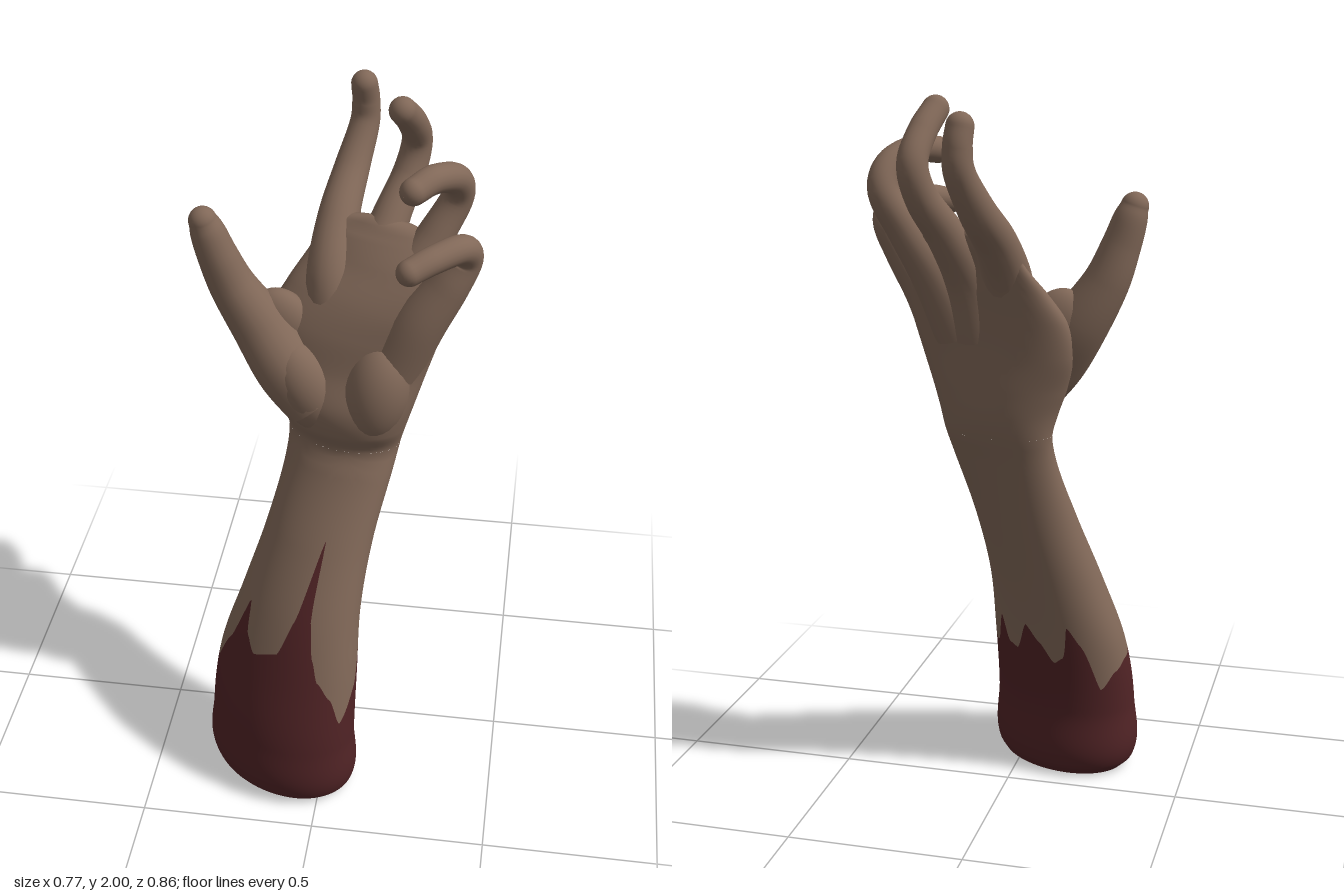
import * as THREE from 'three';
import { ParametricGeometry } from 'three/addons/geometries/ParametricGeometry.js';

const skin = new THREE.MeshStandardMaterial({ color: 0x816858 });
skin.name = 'brown skin';
const blood = new THREE.MeshStandardMaterial({ color: 0x502325 });
blood.name = 'dark red blood';

// Smooth interpolation through rows of [parameter, ...values]
function spline(rows) {
  return new THREE.CubicInterpolant(
    rows.map((r) => r[0]), rows.flatMap((r) => r.slice(1)), rows[0].length - 1, new Array(rows[0].length - 1).fill(0));
}

// Arm and palm cross-sections: y, xMin, xMax, zMin, zMax, slant of z along x
const sections = spline([
  [0, -0.31, 0.075, 0.075, 0.40, 0.23],
  [0.03, -0.338, 0.094, 0.052, 0.423, 0.23],
  [0.2, -0.34, 0.095, 0.055, 0.42, 0.23],
  [0.4, -0.315, 0.098, 0.038, 0.375, 0.23],
  [0.6, -0.25, 0.10, 0.005, 0.315, 0.22],
  [0.8, -0.185, 0.125, -0.04, 0.225, 0.2],
  [1.0, -0.138, 0.17, -0.095, 0.125, 0.2],
  [1.07, -0.135, 0.185, -0.118, 0.098, 0.18],
  [1.13, -0.15, 0.2, -0.132, 0.122, 0.17],
  [1.2, -0.175, 0.22, -0.14, 0.125, 0.17],
  [1.3, -0.2, 0.25, -0.147, 0.09, 0.2],
  [1.4, -0.19, 0.28, -0.16, 0.07, 0.25],
  [1.48, -0.145, 0.3, -0.175, 0.05, 0.33],
  [1.56, -0.09, 0.31, -0.192, 0.005, 0.4],
  [1.62, -0.06, 0.27, -0.205, -0.075, 0.3],
  [1.65, -0.01, 0.2, -0.2, -0.12, 0.25],
  [1.662, 0.08, 0.1, -0.168, -0.155, 0.1],
]);

function armPoint(y, angle, scale, target) {
  const [x0, x1, z0, z1, slant] = sections.evaluate(y);
  const rx = (x1 - x0) / 2, ez = (z1 - z0) / 2;
  const rz = Math.sqrt(Math.max(ez * ez - (slant * rx) ** 2, 1e-6));
  const dx = rx * Math.cos(angle), dz = rz * Math.sin(angle) + slant * dx;
  target.set((x0 + x1) / 2 + dx * scale, y, (z0 + z1) / 2 + dz * scale);
}

// Upper edge of the blood: angle in degrees (0 = +x, 90 = front), height
const drips = [
  [0, 0.46], [10, 0.38], [33, 0.29], [46, 0.38], [60, 0.44], [67, 0.51], [75, 0.62], [81, 0.84], [90, 0.62],
  [99, 0.51], [120, 0.48], [132, 0.52], [143, 0.61], [152, 0.47], [168, 0.37], [190, 0.36], [210, 0.33],
  [228, 0.28], [240, 0.42], [249, 0.48], [258, 0.38], [266, 0.36], [277, 0.42], [288, 0.47], [300, 0.38],
  [310, 0.39], [319, 0.47], [330, 0.37], [340, 0.36], [350, 0.44], [356, 0.47], [360, 0.46],
];

function dripHeight(angle) {
  const deg = THREE.MathUtils.euclideanModulo(THREE.MathUtils.radToDeg(angle), 360);
  const i = Math.max(1, drips.findIndex((d) => d[0] >= deg));
  const [a, ya] = drips[i - 1], [b, yb] = drips[i];
  const t = (deg - a) / (b - a);
  return THREE.MathUtils.lerp(ya, yb, 0.5 * t + 0.5 * THREE.MathUtils.smoothstep(t, 0, 1));
}

// Round limb through [x, y, z, radius] points with a domed tip
function digitGeometry(points, ref) {
  const path = spline(points.map((p, i) => [i, ...p]));
  const last = points.length - 1, body = 0.82;
  const axis = new THREE.Vector3(...ref);
  return new ParametricGeometry((u, v, target) => {
    const s = Math.min(v / body, 1) * last;
    const dome = Math.max(0, (v - body) / (1 - body)) * Math.PI * 0.495;
    const ahead = new THREE.Vector3(...path.evaluate(Math.min(s + 0.01, last)).slice(0, 3));
    const behind = new THREE.Vector3(...path.evaluate(Math.max(s - 0.01, 0)).slice(0, 3));
    const along = ahead.sub(behind).normalize();
    const a = axis.clone().cross(along).normalize();
    const b = along.clone().cross(a);
    const [x, y, z, r] = path.evaluate(s);
    const ring = r * Math.cos(dome), angle = u * Math.PI * 2;
    target.set(x, y, z)
      .addScaledVector(along, r * Math.sin(dome))
      .addScaledVector(a, ring * Math.cos(angle))
      .addScaledVector(b, ring * Math.sin(angle));
  }, 20, 48);
}

const digits = {
  thumb: { ref: [0, 0, 1], points: [
    [-0.05, 1.19, 0.02, 0.095], [-0.13, 1.28, 0.01, 0.092], [-0.205, 1.385, -0.015, 0.08],
    [-0.275, 1.5, -0.015, 0.064], [-0.313, 1.6, -0.005, 0.054], [-0.335, 1.67, 0.0, 0.047],
    [-0.346, 1.705, 0.004, 0.038]] },
  indexFinger: { ref: [1, 0, 0], points: [
    [-0.01, 1.36, -0.06, 0.075], [-0.025, 1.5, -0.105, 0.07], [-0.022, 1.62, -0.205, 0.058],
    [0.0, 1.72, -0.315, 0.049], [0.025, 1.82, -0.383, 0.041], [0.028, 1.885, -0.392, 0.038],
    [0.024, 1.937, -0.382, 0.036]] },
  middleFinger: { ref: [1, 0, 0], points: [
    [0.06, 1.36, -0.06, 0.08], [0.08, 1.51, -0.105, 0.068], [0.12, 1.64, -0.19, 0.053],
    [0.16, 1.74, -0.265, 0.045], [0.178, 1.83, -0.287, 0.041], [0.168, 1.905, -0.235, 0.039],
    [0.148, 1.962, -0.175, 0.036]] },
  ringFinger: { ref: [0.7, 0, 0.6], points: [
    [0.12, 1.36, -0.04, 0.08], [0.18, 1.51, -0.085, 0.066], [0.25, 1.64, -0.13, 0.05],
    [0.3, 1.74, -0.155, 0.043], [0.295, 1.81, -0.115, 0.04], [0.245, 1.845, -0.035, 0.038],
    [0.2, 1.838, 0.025, 0.036]] },
  littleFinger: { ref: [0.7, 0, 0.6], points: [
    [0.16, 1.32, 0.01, 0.085], [0.225, 1.45, 0.015, 0.072], [0.295, 1.56, 0.005, 0.056],
    [0.34, 1.645, -0.002, 0.043], [0.325, 1.695, 0.045, 0.039], [0.262, 1.697, 0.112, 0.037],
    [0.208, 1.684, 0.16, 0.035]] },
};

// Rounded pads of the palm: centre, radii, lean about z
const pads = {
  palmHeelPad: { at: [0.115, 1.24, 0.035], size: [0.098, 0.16, 0.106], lean: -0.2 },
  thumbPad: { at: [-0.07, 1.23, 0.03], size: [0.09, 0.15, 0.085], lean: 0.5 },
  thumbWeb: { at: [-0.15, 1.39, -0.045], size: [0.08, 0.1, 0.055], lean: 0.5 },
};

export function createModel() {
  const model = new THREE.Group();
  model.name = 'severedArm';
  const add = (name, geometry, material) => {
    const mesh = new THREE.Mesh(geometry, material);
    mesh.name = name;
    model.add(mesh);
    return mesh;
  };
  const turn = (u) => -u * Math.PI * 2;

  // Bloodied stump with its flat end
  add('bloodyStump', new ParametricGeometry((u, v, target) =>
    armPoint(dripHeight(turn(u)) * (0.2 * v + 0.8 * v * v), turn(u), 1, target), 240, 30), blood);
  add('stumpEnd', new ParametricGeometry((u, v, target) =>
    armPoint(0, turn(u), Math.max(v, 0.001 + 0.999 * v), target), 60, 2), blood);

  // Forearm from the blood line to the wrist, then the palm
  const wrist = 1.07;
  add('forearm', new ParametricGeometry((u, v, target) =>
    armPoint(THREE.MathUtils.lerp(dripHeight(turn(u)), wrist, v), turn(u), 1, target), 240, 24), skin);
  add('palm', new ParametricGeometry((u, v, target) =>
    armPoint(THREE.MathUtils.lerp(wrist, 1.662, v), turn(u), 1, target), 48, 48), skin);

  for (const [name, { at, size, lean }] of Object.entries(pads)) {
    const pad = add(name, new THREE.SphereGeometry(1, 32, 20), skin);
    pad.position.set(...at);
    pad.scale.set(...size);
    pad.rotation.z = lean;
  }

  for (const [name, { points, ref }] of Object.entries(digits)) {
    add(name, digitGeometry(points, ref), skin);
  }
  return model;
}
